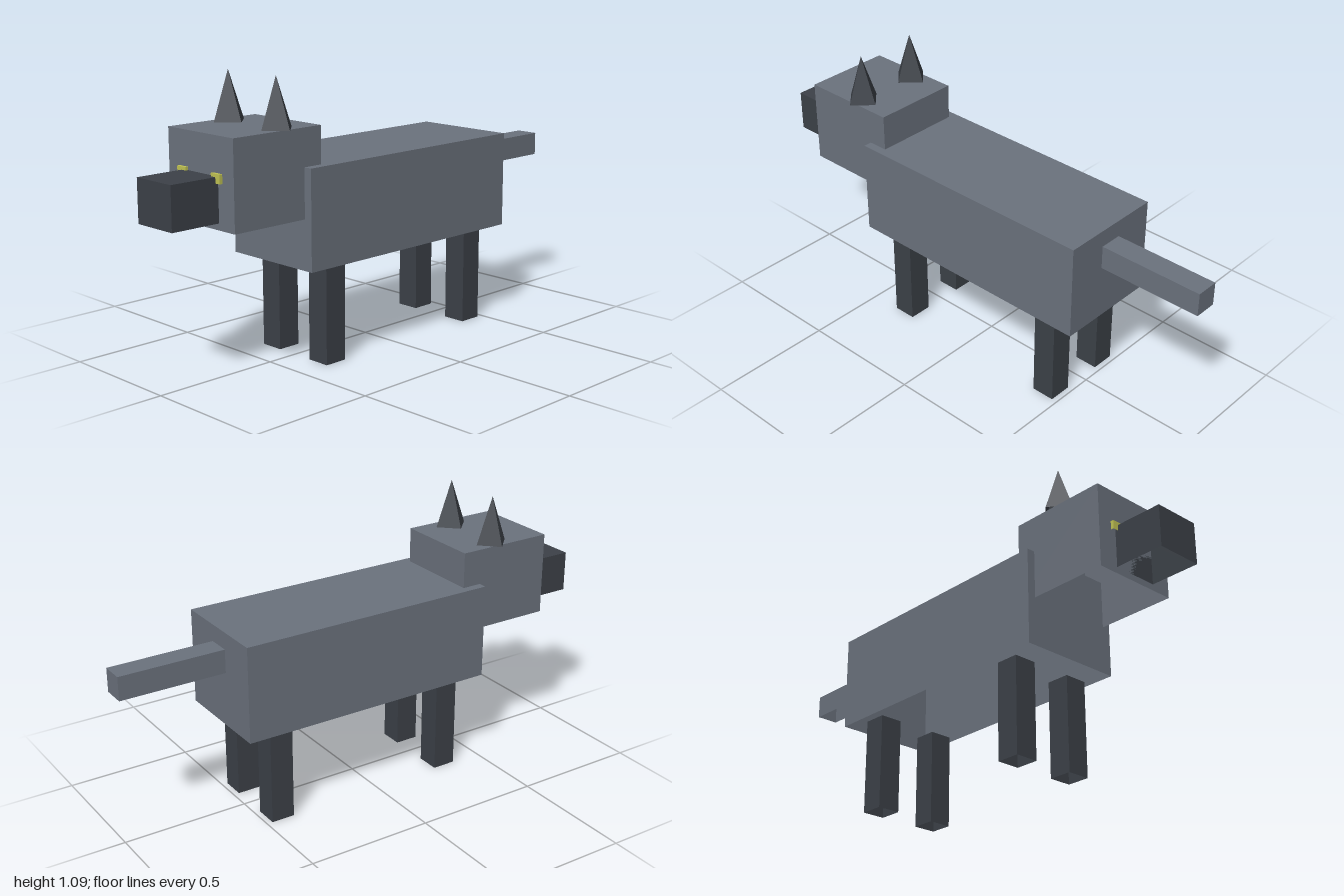
import * as THREE from 'three';

const material = (color) =>
  new THREE.MeshStandardMaterial({ color, flatShading: true, side: THREE.DoubleSide });

// Box given by its bounds, left open underneath
function openBox(name, mat, [x0, x1], [y0, y1], [z0, z1]) {
  const geo = new THREE.BoxGeometry(x1 - x0, y1 - y0, z1 - z0);
  const index = Array.from(geo.index.array);
  index.splice(18, 6); // drop the underside
  geo.setIndex(index);
  geo.clearGroups();
  const mesh = new THREE.Mesh(geo, mat);
  mesh.name = name;
  mesh.position.set((x0 + x1) / 2, (y0 + y1) / 2, (z0 + z1) / 2);
  return mesh;
}

export function createModel() {
  const wolf = new THREE.Group();
  wolf.name = 'wolf';
  const fur = material(0x6b727d);
  const dark = material(0x3c4148);
  const yellow = material(0xc0c253);

  // Body, head, snout and tail
  wolf.add(
    openBox('body', fur, [-0.212, 0.212], [0.38, 0.758], [-0.58, 0.48]),
    openBox('head', fur, [-0.178, 0.178], [0.57, 0.9], [0.4, 0.8]),
    openBox('snout', dark, [-0.094, 0.094], [0.595, 0.758], [0.8, 1]),
    openBox('tail', fur, [-0.046, 0.046], [0.597, 0.69], [-1, -0.58])
  );

  for (const [side, s] of [['left', 1], ['right', -1]]) {
    const span = (a, b) => (s > 0 ? [a, b] : [-b, -a]);

    // Legs
    wolf.add(
      openBox(`${side}FrontLeg`, dark, span(0.083, 0.177), [0, 0.38], [0.283, 0.377]),
      openBox(`${side}BackLeg`, dark, span(0.083, 0.177), [0, 0.38], [-0.477, -0.383])
    );

    // Eyes, partly tucked behind the snout
    wolf.add(openBox(`${side}Eye`, yellow, span(0.07, 0.117), [0.736, 0.77], [0.79, 0.812]));

    // Four-sided pointed ears
    const ear = new THREE.Mesh(new THREE.ConeGeometry(0.07, 0.187, 4, 1, true), dark);
    ear.name = `${side}Ear`;
    ear.position.set(s * 0.13, 0.9935, 0.565);
    wolf.add(ear);
  }
  return wolf;
}
